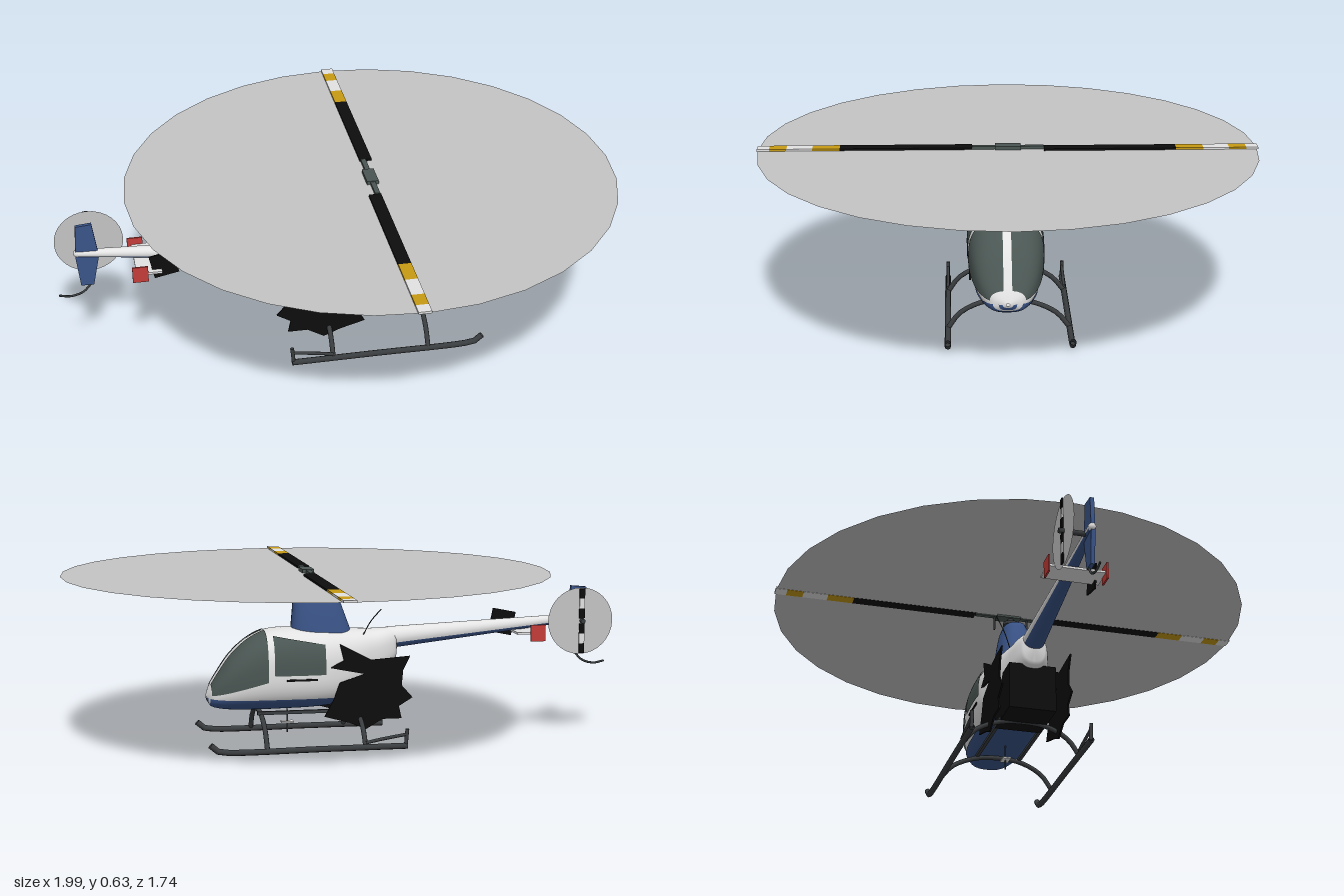
import * as THREE from 'three';

const mat = (name, color) => {
  const m = new THREE.MeshStandardMaterial({ color, side: THREE.DoubleSide });
  m.name = name;
  return m;
};

export function createModel() {
  const root = new THREE.Group();
  root.name = 'helicopter';
  const white = mat('white paint', 0xe2e2e2), blue = mat('blue paint', 0x3a5488);
  const glass = mat('tinted glass', 0x4a5653), black = mat('black', 0x0d0d0d);
  const steel = mat('dark steel', 0x3a3d3f), grey = mat('rotor disc grey', 0xc4c4c4);
  const yellow = mat('yellow band', 0xc79a14), red = mat('red placard', 0xc43c38);

  const add = (name, geo, material, x = 0, y = 0, z = 0) => {
    const m = new THREE.Mesh(geo, material);
    m.name = name;
    m.position.set(x, y, z);
    root.add(m);
    return m;
  };
  const box = (name, material, w, h, d, x, y, z) =>
    add(name, new THREE.BoxGeometry(w, h, d), material, x, y, z);
  const tube = (name, material, pts, r) => add(name, new THREE.TubeGeometry(
    new THREE.CatmullRomCurve3(pts.map(p => new THREE.Vector3(...p))), 20, r, 8), material);

  // Smooth grid surface from a function of u and v in 0..1
  const surface = (f, nu, nv) => {
    const pos = [], idx = [];
    for (let i = 0; i <= nu; i++) for (let j = 0; j <= nv; j++) pos.push(...f(i / nu, j / nv));
    for (let i = 0; i < nu; i++) for (let j = 0; j < nv; j++) {
      const a = i * (nv + 1) + j, b = a + nv + 1;
      idx.push(a, b, a + 1, b, b + 1, a + 1);
    }
    const g = new THREE.BufferGeometry();
    g.setAttribute('position', new THREE.Float32BufferAttribute(pos, 3));
    g.setIndex(idx);
    g.computeVertexNormals();
    return g;
  };

  // Cabin stations: x, bottom, top, half width
  const st = [
    [-0.21, 0.34, 0.36, 0.004], [-0.2, 0.29, 0.4, 0.04], [-0.1, 0.22, 0.405, 0.08],
    [0, 0.15, 0.41, 0.112], [0.08, 0.135, 0.415, 0.13], [0.25, 0.13, 0.415, 0.13],
    [0.33, 0.13, 0.385, 0.123], [0.4, 0.132, 0.325, 0.106], [0.45, 0.138, 0.255, 0.08],
    [0.48, 0.15, 0.205, 0.048], [0.49, 0.172, 0.18, 0.006]];
  const slope = (i, k) => {
    const a = st[Math.max(i - 1, 0)], b = st[Math.min(i + 1, st.length - 1)];
    return (b[k] - a[k]) / (b[0] - a[0]);
  };
  const section = x => {
    let i = 0;
    while (i < st.length - 2 && x > st[i + 1][0]) i++;
    const a = st[i], b = st[i + 1], d = b[0] - a[0], t = (x - a[0]) / d;
    const [yb, yt, w] = [1, 2, 3].map(k =>
      a[k] * (1 + 2 * t) * (1 - t) ** 2 + slope(i, k) * d * t * (1 - t) ** 2 +
      b[k] * t * t * (3 - 2 * t) + slope(i + 1, k) * d * t * t * (t - 1));
    return { yc: (yb + yt) / 2, h: Math.max((yt - yb) / 2, 0.003), w: Math.max(w, 0.004) };
  };
  const N = 2.6;
  const angleOf = t => {
    const c = Math.max(-1, Math.min(1, t));
    return Math.asin(Math.sign(c) * Math.abs(c) ** (N / 2));
  };
  // Side panel of the cabin between two height rules, mirrored left and right
  const panel = (name, material, x0, x1, lo, hi, off, nu = 40, nv = 16) => {
    for (const s of [-1, 1]) add(name, surface((u, v) => {
      const x = x0 + (x1 - x0) * u, c = section(x);
      const a0 = angleOf((lo(x, c) - c.yc) / c.h), a1 = angleOf((hi(x, c) - c.yc) / c.h);
      const a = a0 + (Math.max(a1, a0) - a0) * v;
      const ty = Math.sign(a) * Math.abs(Math.sin(a)) ** (2 / N);
      const tz = Math.max(Math.cos(a), 0) ** (2 / N);
      return [x, c.yc + ty * (c.h + off), s * tz * (c.w + off)];
    }, nu, nv), material);
  };
  const bottom = () => -9, top = () => 9;
  panel('cabinShell', white, -0.21, 0.49, bottom, top, 0, 70, 24);
  panel('belly', blue, 0, 0.488, bottom, () => 0.175, 0.003);
  panel('doorWindow', glass, 0.075, 0.258, () => 0.262, x => 0.365 + (x - 0.075) * 0.17, 0.004);
  // Windscreen halves leave a centre post
  panel('windscreen', glass, 0.28, 0.474, x => 0.24 - (x - 0.28) * 0.28,
    (x, c) => c.yc + c.h * (1 - Math.min(0.014 / c.w, 1) ** N) ** (1 / N), 0.004);
  for (const s of [-1, 1]) box('doorHandle', black, 0.11, 0.007, 0.006, 0.16, 0.245, s * 0.132);

  // Mast fairing: y, rear x, front x, half width
  const fairing = [[0.35, -0.05, 0.185, 0.072], [0.42, -0.03, 0.18, 0.066], [0.48, -0.008, 0.175, 0.057],
    [0.53, 0.01, 0.172, 0.047], [0.55, 0.02, 0.168, 0.04], [0.557, 0.04, 0.15, 0.026], [0.558, 0.09, 0.1, 0.002]];
  add('mastFairing', surface((u, v) => {
    const [y, x0, x1, w] = fairing[Math.round(u * 6)], a = v * Math.PI * 2;
    const p = q => Math.sign(q) * Math.abs(q) ** 0.75;
    return [(x0 + x1) / 2 + p(Math.cos(a)) * (x1 - x0) / 2, y, p(Math.sin(a)) * w];
  }, 6, 32), blue);

  // Tail boom, white above and blue below
  const boom = (name, material, a0, a1) => add(name, surface((u, v) => {
    const a = a0 + (a1 - a0) * v, r = 0.04 - 0.027 * u;
    return [-0.17 - 0.75 * u, 0.37 + 0.06 * u + r * Math.sin(a), -0.01 * u + r * Math.cos(a)];
  }, 8, 16), material);
  boom('tailBoomTop', white, -0.45, Math.PI + 0.45);
  boom('tailBoomUnderside', blue, Math.PI + 0.45, Math.PI * 2 - 0.45);
  add('boomCap', new THREE.SphereGeometry(0.014, 12, 8), white, -0.92, 0.43, -0.01);

  const plate = (name, material, pts, depth, z) => add(name, new THREE.ExtrudeGeometry(
    new THREE.Shape(pts.map(p => new THREE.Vector2(...p))), { depth, bevelEnabled: false }), material, 0, 0, z);
  plate('tailFin', blue, [[-0.92, 0.54], [-0.863, 0.545], [-0.845, 0.415], [-0.87, 0.3],
    [-0.915, 0.3], [-0.927, 0.415]], 0.014, -0.015);
  tube('tailGuard', steel, [[-0.875, 0.305, -0.01], [-0.91, 0.268, -0.01], [-0.955, 0.255, -0.01], [-0.995, 0.262, -0.01]], 0.004);

  // Stabiliser with placards and a tilted dark panel
  box('stabiliser', white, 0.09, 0.008, 0.2, -0.68, 0.385, 0);
  for (const s of [-1, 1]) box('placard', red, 0.055, 0.06, 0.006, -0.712, 0.385, s * 0.1);
  box('darkPanel', black, 0.088, 0.088, 0.006, -0.627, 0.405, 0.08).rotation.z = 0.2;

  // Tail rotor
  const tailDisc = add('tailRotorDisc', new THREE.CircleGeometry(0.122, 32), grey, -0.874, 0.425, -0.092);
  tailDisc.rotation.y = Math.PI;
  add('tailRotorShaft', new THREE.CylinderGeometry(0.009, 0.009, 0.1, 10), steel, -0.88, 0.425, -0.06).rotation.x = Math.PI / 2;
  for (const s of [-1, 1]) for (let i = 0; i < 3; i++)
    box('tailRotorBlade', i % 2 ? white : black, 0.02, 0.036, 0.005, -0.878, 0.425 + s * (0.028 + i * 0.036), -0.098);

  // Engine bay: core and jagged side cowls
  box('engine', black, 0.2, 0.17, 0.17, -0.08, 0.2, 0);
  const cowl = [[-0.23, 0.32], [-0.09, 0.31], [0.025, 0.37], [0.01, 0.31], [0.06, 0.285], [-0.065, 0.26],
    [0.025, 0.23], [0.045, 0.175], [0.08, 0.11], [-0.01, 0.085], [-0.07, 0.06], [-0.13, 0.095],
    [-0.2, 0.095], [-0.19, 0.14], [-0.24, 0.17], [-0.2, 0.215], [-0.205, 0.27]];
  for (const z of [-0.128, 0.122]) plate('engineCowl', black, cowl, 0.006, z);

  // Main rotor disc, mast and hub
  const RX = 0.125, RZ = -0.01;
  add('mainRotorDisc', new THREE.CircleGeometry(0.87, 32), grey, RX, 0.617, RZ).rotation.x = -Math.PI / 2;
  add('mast', new THREE.CylinderGeometry(0.012, 0.014, 0.07, 12), steel, RX, 0.585, 0);
  add('swashplate', new THREE.CylinderGeometry(0.028, 0.028, 0.012, 16), steel, RX, 0.59, 0);
  box('rotorHub', glass, 0.042, 0.02, 0.09, RX, 0.62, RZ);
  box('hubArm', glass, 0.018, 0.014, 0.25, RX, 0.62, RZ);
  for (const s of [-1, 1]) {
    box('pitchLink', steel, 0.005, 0.06, 0.005, RX, 0.592, s * 0.062);
    // Blade bands from root to tip
    const bands = [[0.125, 0.585, black], [0.585, 0.68, yellow], [0.68, 0.77, white], [0.77, 0.83, yellow], [0.83, 0.872, white]];
    for (const [a, b, m] of bands)
      box('rotorBlade', m, 0.044, 0.008, b - a, RX - s * 0.01, 0.62, RZ + s * (a + b) / 2);
  }

  // Landing skids
  for (const z of [0.205, -0.222]) {
    tube('skid', steel, [[-0.2, 0.014, z], [0.1, 0.014, z], [0.44, 0.014, z], [0.475, 0.02, z], [0.5, 0.042, z]], 0.011);
    tube('skidHeel', steel, [[-0.195, 0.014, z], [-0.197, 0.045, z], [-0.2, 0.075, z]], 0.007);
    tube('skidBrace', steel, [[-0.195, 0.055, z], [-0.1, 0.04, z], [-0.05, 0.03, z]], 0.006);
  }
  for (const x of [-0.05, 0.3])
    tube('crossTube', steel, [[x, 0.014, 0.205], [x, 0.07, 0.165], [x, 0.11, 0.09], [x, 0.12, 0],
      [x, 0.11, -0.09], [x, 0.07, -0.175], [x, 0.014, -0.222]], 0.009);
  for (const s of [-1, 1]) box('bellyRail', steel, 0.38, 0.012, 0.012, 0.125, 0.122, s * 0.08);

  // Small aerials
  box('bellyAerial', steel, 0.004, 0.1, 0.004, 0.195, 0.085, 0);
  box('bellyAerialBar', white, 0.045, 0.005, 0.03, 0.195, 0.073, 0);
  tube('whipAerial', steel, [[-0.07, 0.38, -0.05], [-0.095, 0.44, -0.08], [-0.125, 0.49, -0.12]], 0.002);
  return root;
}
